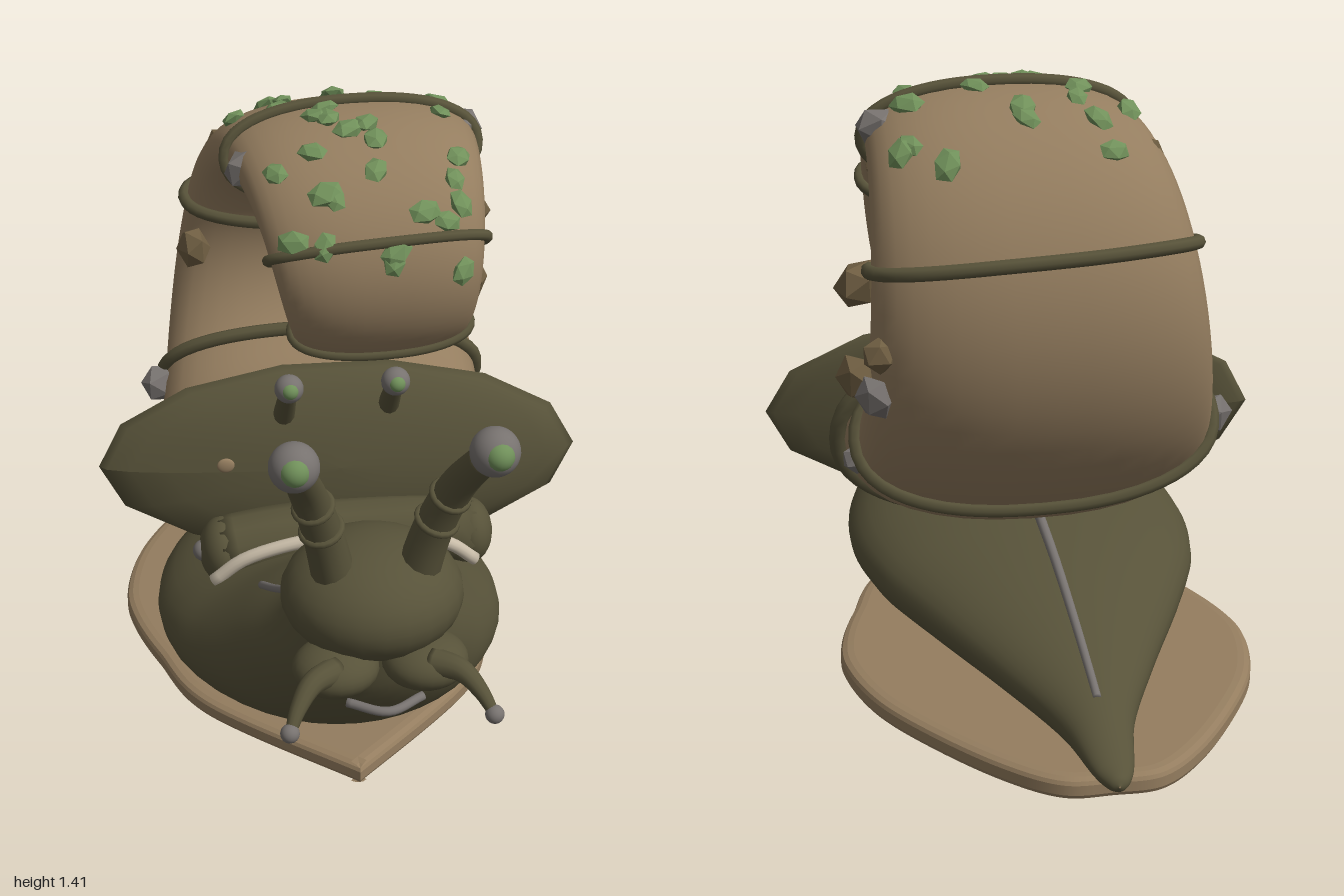
import * as THREE from 'three';

const mat = (name, color) => Object.assign(new THREE.MeshStandardMaterial({ color }), { name });
const V = (x, y, z) => new THREE.Vector3(x, y, z);
const CX = -0.04; // body centre line

// Closed rings joined into a smooth skin
function loft(rings) {
  const n = rings[0].length, pos = [], idx = [];
  rings.forEach(r => r.forEach(p => pos.push(p.x, p.y, p.z)));
  for (let i = 0; i < rings.length - 1; i++) for (let j = 0; j < n; j++) {
    const a = i * n + j, b = i * n + (j + 1) % n, c = a + n, d = b + n;
    idx.push(a, c, b, b, c, d);
  }
  const g = new THREE.BufferGeometry();
  g.setAttribute('position', new THREE.Float32BufferAttribute(pos, 3));
  g.setIndex(idx);
  g.computeVertexNormals();
  return g;
}
const angles = n => Array.from({ length: n }, (_, j) => -j / n * Math.PI * 2);

// Round tube whose radius goes from r0 to r1
function taperTube(points, r0, r1, steps = 16, sides = 12) {
  const curve = new THREE.CatmullRomCurve3(points), f = curve.computeFrenetFrames(steps);
  const rings = [];
  for (let i = -1; i <= steps + 1; i++) {
    const k = Math.min(Math.max(i, 0), steps), c = curve.getPointAt(k / steps);
    const r = i === k ? r0 + (r1 - r0) * k / steps : 0.0005;
    rings.push(angles(sides).map(a => c.clone()
      .addScaledVector(f.normals[k], r * Math.cos(a)).addScaledVector(f.binormals[k], r * Math.sin(a))));
  }
  return loft(rings);
}

// Shell spiral: t turns around the x axis, a runs around the whorl (0 = outermost)
function shellPoint(t, a, grow = 0) {
  const R = 0.275 * Math.exp(0.185 * t), pw = v => Math.sign(v) * Math.abs(v) ** 0.88;
  const rad = 0.71 * R + (0.29 * R + grow) * pw(Math.cos(a));
  const x = 0.17 - 0.27 * R + (R * (1 - 0.57 * R) + grow) * pw(Math.sin(a));
  return V(x, 1.02 + rad * Math.sin(t), -0.19 + rad * Math.cos(t));
}
function shellNormal(t, a) {
  const R = 0.275 * Math.exp(0.185 * t);
  const r = Math.cos(a) / 0.29, x = Math.sin(a) / (1 - 0.57 * R);
  return V(x, r * Math.sin(t), r * Math.cos(t)).normalize();
}

export function createModel() {
  const root = new THREE.Group();
  const tan = mat('shellTan', 0x947d5f), olive = mat('skinOlive', 0x575239), grey = mat('stoneGrey', 0x77726f);
  const moss = mat('mossGreen', 0x70905a), cream = mat('cream', 0xc8bca8), brown = mat('rockBrown', 0x6f5e42);
  tan.side = THREE.DoubleSide;
  const rockMats = new Map([grey, brown, moss].map(m => {
    const f = m.clone(); f.flatShading = true; return [m, f];
  }));
  const add = (name, geo, m, p) => {
    const mesh = new THREE.Mesh(geo, m);
    mesh.name = name;
    if (p) mesh.position.copy(p);
    root.add(mesh);
    return mesh;
  };
  const ball = (name, r, m, p, s = [1, 1, 1]) => {
    const b = add(name, new THREE.SphereGeometry(r, 24, 16), m, p);
    b.scale.set(...s);
    return b;
  };

  // Body: back line and belly line as (z, y), with half widths
  const section = [
    [0.54, 0.66, 0.77, 0.56, 0.15], [0.45, 0.585, 0.735, 0.43, 0.20], [0.32, 0.53, 0.62, 0.28, 0.27],
    [0.20, 0.465, 0.48, 0.165, 0.345], [0.08, 0.42, 0.32, 0.105, 0.40], [-0.05, 0.385, 0.10, 0.08, 0.415],
    [-0.20, 0.355, -0.15, 0.07, 0.38], [-0.38, 0.31, -0.38, 0.065, 0.29], [-0.60, 0.235, -0.60, 0.055, 0.175],
    [-0.80, 0.16, -0.80, 0.045, 0.08], [-0.95, 0.09, -0.95, 0.04, 0.04], [-0.985, 0.075, -0.985, 0.042, 0.02],
    [-0.995, 0.06, -0.995, 0.055, 0.002]];
  const back = new THREE.CatmullRomCurve3(section.map(s => V(s[4], s[1], s[0])));
  const belly = new THREE.CatmullRomCurve3(section.map(s => V(s[4], s[3], s[2])));
  const bodyRings = [];
  for (let i = 0; i <= 60; i++) {
    const t = back.getPoint(i / 60), b = belly.getPoint(i / 60);
    bodyRings.push(angles(40).map(a => {
      const k = (1 + Math.cos(a)) / 2;
      return V(CX + t.x * Math.sin(a), b.y + (t.y - b.y) * k, b.z + (t.z - b.z) * k);
    }));
  }
  add('body', loft(bodyRings), olive);

  // Foot: flat sole with a pointed front, tilted slightly up
  const half = [[0.32, 0.24], [0.42, 0], [0.47, -0.18], [0.475, -0.32], [0.43, -0.5], [0.34, -0.67], [0.22, -0.84], [0.11, -0.94]];
  const P = (x, z) => new THREE.Vector2(x, z);
  const sole = new THREE.Shape();
  sole.moveTo(0, 0.56);
  sole.splineThru([...half.map(p => P(...p)), P(0, -0.95), ...half.slice().reverse().map(([x, z]) => P(-x, z)), P(0, 0.56)]);
  const footGeo = new THREE.ExtrudeGeometry(sole, {
    depth: 0.022, bevelThickness: 0.016, bevelSize: 0.03, bevelOffset: -0.03, bevelSegments: 3, curveSegments: 60 });
  footGeo.rotateX(Math.PI / 2).translate(0, 0.011, 0).rotateX(-0.023).translate(CX, 0.056, 0);
  add('foot', footGeo, tan);
  add('solePatch', new THREE.CylinderGeometry(0.055, 0.055, 0.008, 6), olive, V(CX, 0.024, -0.15)).rotation.x = -0.023;

  // Head with cheeks and mouth
  ball('head', 1, olive, V(CX, 0.665, 0.69), [0.195, 0.13, 0.185]);
  add('mouth', taperTube([V(-0.12, 0.505, 0.86), V(CX, 0.502, 0.9), V(0.04, 0.505, 0.86)], 0.01, 0.01), grey);

  // Paired head parts
  for (const s of [1, -1]) {
    const M = (x, y, z) => V(CX + s * x, y, z);
    ball('cheek', 1, olive, M(0.095, 0.555, 0.8), [0.092, 0.057, 0.085]);
    add('feeler', taperTube([M(0.1, 0.575, 0.84), M(0.155, 0.575, 0.88), M(0.19, 0.545, 0.92), M(0.21, 0.512, 0.95)], 0.032, 0.012), olive);
    ball('feelerTip', 0.02, grey, M(0.212, 0.51, 0.953));

    const stalk = [M(0.085, 0.72, 0.735), M(0.115, 0.86, 0.765), M(0.15, 0.98, 0.815), M(0.19, 1.1, 0.91)];
    add('eyeStalk', taperTube(stalk, 0.047, 0.032), olive);
    const path = new THREE.CatmullRomCurve3(stalk);
    for (const [t, r] of [[0.37, 0.041], [0.55, 0.038]]) {
      const ring = add('stalkRing', new THREE.TorusGeometry(r, 0.008, 8, 20), olive, path.getPointAt(t));
      ring.lookAt(path.getPointAt(t).add(path.getTangentAt(t)));
    }
    ball('eyeball', 0.05, grey, M(0.195, 1.12, 0.935));
    ball('iris', 0.032, moss, M(0.197, 1.125, 0.959));
    add('neckStripe', taperTube([M(0.2, 0.505, 0.39), M(0.18, 0.545, 0.47), M(0.15, 0.605, 0.575)], 0.009, 0.009), grey);

    // Small back eyes on the mantle
    add('smallStalk', taperTube([V(CX + 0.03 + s * 0.125, 0.7, -0.02), V(CX + 0.03 + s * 0.125, 0.84, 0.095)], 0.028, 0.02), olive);
    ball('smallEyeball', 0.034, grey, V(CX + 0.03 + s * 0.125, 0.845, 0.1));
    ball('smallIris', 0.022, moss, V(CX + 0.03 + s * 0.125, 0.848, 0.116));
  }

  // Tail ridge
  add('tailRidge', taperTube([V(CX, 0.362, -0.2), V(CX, 0.315, -0.38), V(CX, 0.24, -0.6), V(CX, 0.165, -0.79)], 0.012, 0.009), grey);

  // Mantle: wide lens closing the shell mouth
  const lens = new THREE.SphereGeometry(1, 14, 12).rotateX(Math.PI / 2);
  const lp = lens.attributes.position;
  for (let i = 0; i < lp.count; i++) if (lp.getZ(i) < 0) lp.setZ(i, lp.getZ(i) * 0.4);
  lens.scale(0.578, 0.24, 0.1);
  lens.computeVertexNormals();
  add('mantle', lens, olive, V(0, 0.585, -0.035)).rotation.set(-0.17, -0.07, 0);
  for (const [x, z] of [[-0.28, 0.032], [0.405, 0.058]]) ball('mantleSpot', 0.021, tan, V(x, 0.615, z), [1, 0.9, 0.35]);

  // Mantle roll with pale trim and end buttons
  const roll = [V(-0.3, 0.425, 0.1), V(-0.15, 0.445, 0.1), V(0.15, 0.445, 0.1), V(0.3, 0.425, 0.1)];
  add('mantleRoll', taperTube(roll, 0.08, 0.08), olive);
  for (const s of [1, -1]) {
    ball('rollEnd', 0.08, olive, V(s * 0.3, 0.425, 0.1), [0.7, 1, 1]);
    ball('rollButton', 0.026, grey, V(s * 0.335 - 0.01, 0.427, 0.1));
  }
  add('paleTrim', taperTube([V(-0.33, 0.39, 0.18), V(-0.25, 0.455, 0.195), V(-0.02, 0.505, 0.21), V(0.22, 0.455, 0.195), V(0.3, 0.39, 0.18)], 0.016, 0.016, 30), cream);

  // Shell
  const shellRings = [];
  for (let i = 0; i <= 150; i++) shellRings.push(angles(36).map(a => shellPoint(-9.6 + i / 150 * 14.52, a)));
  add('shell', loft(shellRings), tan);

  // Vines around the whorls, plus the thick lip at the mouth
  const vine = (name, t, r) => add(name, new THREE.TubeGeometry(
    new THREE.CatmullRomCurve3(angles(28).map(a => shellPoint(t + 0.05 * Math.sin(a), a, r * 0.4)), true), 64, r, 8, true), olive);
  [243, 173, 104, 32, -38, -108, -178].forEach((d, i) => vine('vine', d * Math.PI / 180, 0.017 - i * 0.0012));
  vine('shellLip', 4.9, 0.025);

  // Rocks stuck to the shell
  const rock = (x, y, z, r, m, i) => {
    const k = add('rock', new THREE.IcosahedronGeometry(r, 0), rockMats.get(m), V(x, y, z));
    k.rotation.set(i * 1.3, i * 2.1, i * 0.7);
    k.scale.set(1, 0.8, 1.1);
  };
  [[0.34, 1.31, -0.31, 0.055], [-0.19, 1.28, -0.19, 0.055], [-0.4, 0.64, -0.37, 0.05],
    [0.39, 0.78, -0.56, 0.05], [0.4, 0.57, -0.32, 0.035]].forEach((p, i) => rock(...p, grey, i));
  [[0.41, 1.01, -0.49, 0.055], [0.42, 0.81, -0.51, 0.055], [0.38, 0.88, -0.59, 0.04], [0.32, 1.21, -0.2, 0.04],
    [-0.3, 0.97, -0.45, 0.05], [-0.22, 1.25, -0.42, 0.045]].forEach((p, i) => rock(...p, brown, i + 2));

  // Moss tufts scattered over the top of the shell
  let seed = 7;
  const rnd = () => (seed = (seed * 16807) % 2147483647) / 2147483647;
  for (let i = 0; i < 34; i++) {
    const t = 0.3 + 2.3 * (i + rnd()) / 34, a = (rnd() - 0.5) * 1.9;
    const tuft = add('moss', new THREE.IcosahedronGeometry(0.034 + 0.012 * rnd(), 0), rockMats.get(moss), shellPoint(t, a, 0.004));
    tuft.quaternion.setFromUnitVectors(V(0, 1, 0), shellNormal(t, a));
    tuft.rotateY(rnd() * 6);
    tuft.scale.set(1, 0.42, 0.75);
  }
  return root;
}
